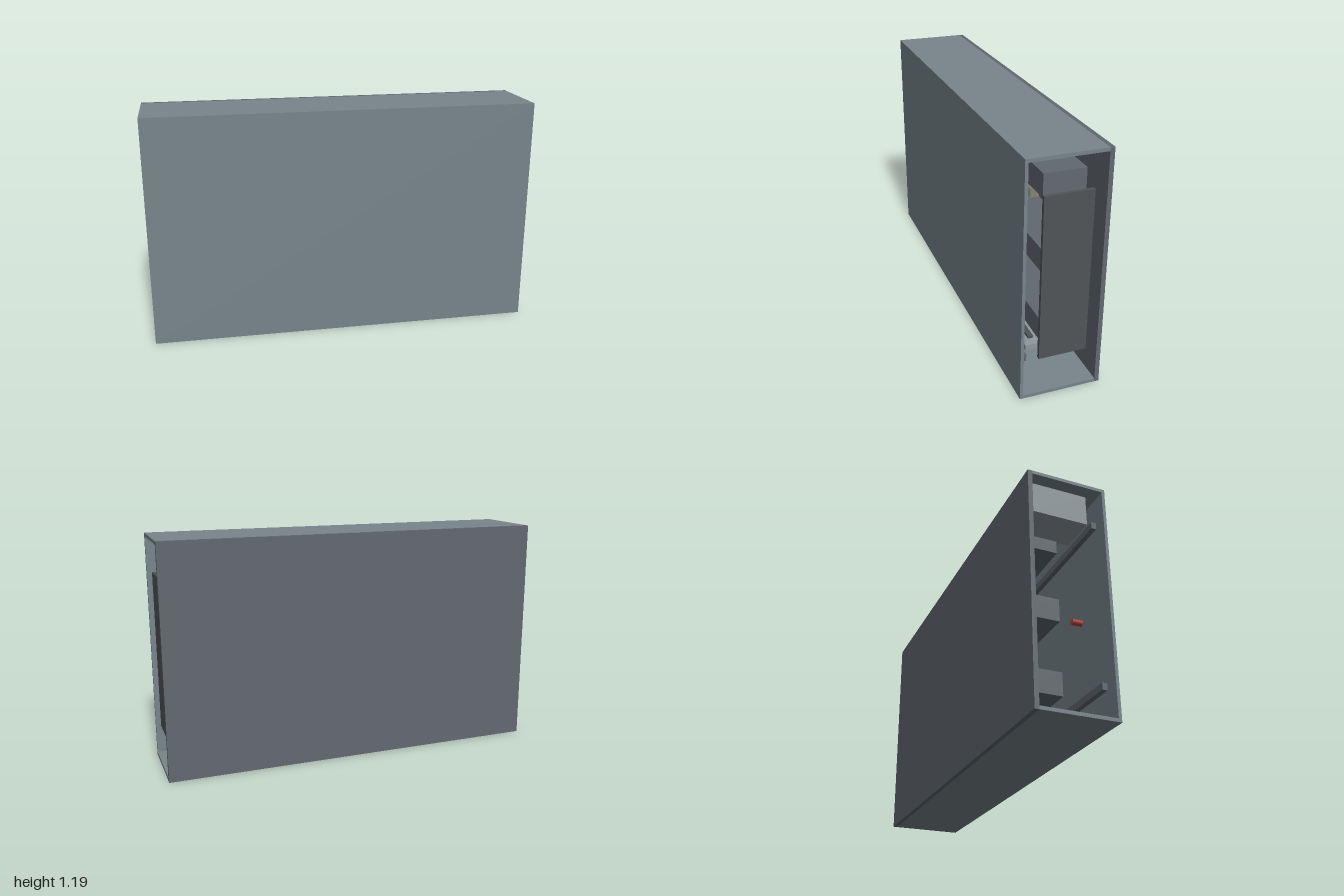
import * as THREE from 'three';

const material = (color) => new THREE.MeshStandardMaterial({ color });
const shellGrey = material(0x78858c);
const backGrey = material(0x62696f);
const darkGrey = material(0x505456);
const lightGrey = material(0x8f999e);
const olive = material(0x858573);
const red = material(0xb5483f);

export function createModel() {
  const group = new THREE.Group();

  // Box given by its extents along each axis
  const block = (name, [x0, x1], [y0, y1], [z0, z1], mat) => {
    const mesh = new THREE.Mesh(new THREE.BoxGeometry(x1 - x0, y1 - y0, z1 - z0), mat);
    mesh.position.set((x0 + x1) / 2, (y0 + y1) / 2, (z0 + z1) / 2);
    mesh.name = name;
    group.add(mesh);
    return mesh;
  };

  // Cabinet shell, open at both ends
  const full = [-1, 1];
  block('frontPanel', full, [0, 1.19], [0.185, 0.2], shellGrey);
  block('backPanel', full, [0, 1.19], [-0.2, -0.178], backGrey);
  block('topPanel', full, [1.173, 1.19], [-0.178, 0.185], shellGrey);
  block('bottomPanel', full, [0, 0.017], [-0.178, 0.185], shellGrey);

  // Upright plate set just inside one end
  block('endPlate', [0.966, 0.984], [0.19, 1.003], [-0.13, 0.105], darkGrey);

  // Box under the roof at the other end
  block('upperBox', [-0.985, -0.8], [0.975, 1.13], [-0.172, 0.103], lightGrey);

  // Stiffening ribs across the back panel
  for (const y of [0.225, 0.597, 0.967]) {
    block('backRib', [-0.81, 0.81], [y - 0.058, y + 0.058], [-0.178, 0.033], backGrey);
  }

  // Slim rails behind the front panel
  for (const y of [0.181, 1.012]) {
    block('frontRail', [-0.945, 0.945], [y - 0.017, y + 0.017], [0.15, 0.175], backGrey);
  }

  // Strips at roof and floor, each with a thin dark bead facing inwards
  block('topStrip', [-0.7, 0.7], [1.138, 1.167], [-0.118, 0.05], lightGrey);
  block('topBead', [-0.65, 0.65], [1.126, 1.138], [-0.012, 0.016], darkGrey);
  block('bottomStrip', [-0.7, 0.7], [0.025, 0.054], [-0.118, 0.05], lightGrey);
  block('bottomBead', [-0.65, 0.65], [0.054, 0.066], [-0.012, 0.016], darkGrey);

  // Modules mounted between the ribs
  for (const y of [0.487, 0.707]) {
    block('module', [-0.3, 0.3], [y - 0.053, y + 0.053], [-0.178, -0.06], olive);
  }
  block('connector', [-0.2, 0.2], [0.792, 0.842], [-0.178, -0.1], lightGrey);
  block('connectorBase', [-0.2, 0.2], [0.778, 0.792], [-0.178, -0.1], darkGrey);

  // Red pins on the inside of the front panel
  for (const x of [-0.74, 0.74]) {
    const pin = new THREE.Mesh(new THREE.CylinderGeometry(0.015, 0.015, 0.052, 16), red);
    pin.rotation.x = Math.PI / 2;
    pin.position.set(x, 0.595, 0.159);
    pin.name = 'pin';
    group.add(pin);
  }

  return group;
}
